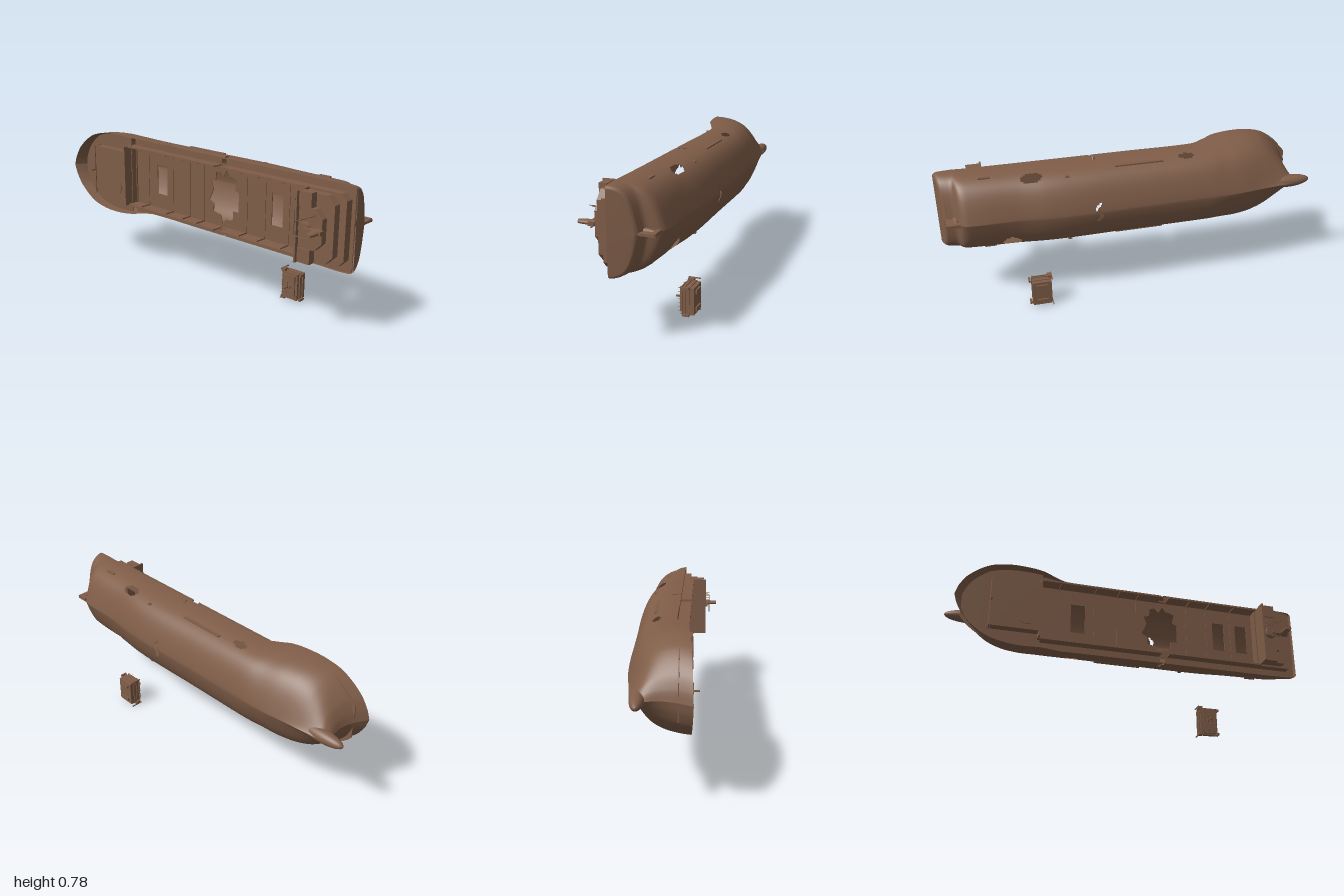
import * as THREE from 'three';

const rust = new THREE.MeshStandardMaterial({ color: 0x7f5d48, side: THREE.DoubleSide });
rust.name = 'rustBrown';

function add(parent, name, geo) {
  const m = new THREE.Mesh(geo, rust);
  m.name = name;
  parent.add(m);
  return m;
}
function box(parent, name, x0, x1, y0, y1, z0, z1) {
  const m = add(parent, name, new THREE.BoxGeometry(x1 - x0, y1 - y0, z1 - z0));
  m.position.set((x0 + x1) / 2, (y0 + y1) / 2, (z0 + z1) / 2);
  return m;
}

// Hull stations: x, half beam, rim z, keel z, section sharpness
const stations = [
  [-0.96, 0, 0.112, -0.15, 2], [-0.945, 0.05, 0.11, -0.16, 2], [-0.9, 0.122, 0.106, -0.17, 1.9],
  [-0.8, 0.199, 0.1, -0.18, 1.7], [-0.7, 0.229, 0.092, -0.19, 1.45], [-0.6, 0.236, 0.084, -0.203, 1.25],
  [-0.5, 0.229, 0.074, -0.21, 1.1], [-0.43, 0.22, 0.045, -0.212, 1], [-0.36, 0.214, 0.02, -0.212, 1],
  [0, 0.213, 0.02, -0.217, 1], [0.3, 0.213, 0.02, -0.224, 1], [0.45, 0.213, 0.02, -0.218, 1],
  [0.6, 0.213, 0.02, -0.201, 1.1], [0.84, 0.213, 0.022, -0.197, 1.35], [0.885, 0.213, 0.024, -0.18, 1.35],
  [0.91, 0.213, 0.025, -0.13, 1.25], [0.96, 0.211, 0.025, -0.11, 1.25], [0.985, 0.207, 0.025, -0.105, 1.3],
  [0.998, 0.195, 0.024, -0.095, 1.35]];
const sternX = 0.998;

// Smooth interpolation between stations
function station(x) {
  const n = stations.length;
  let i = 0;
  while (i < n - 2 && x > stations[i + 1][0]) i++;
  const a = stations[i], b = stations[i + 1], h = b[0] - a[0];
  const t = THREE.MathUtils.clamp((x - a[0]) / h, 0, 1);
  const slope = (j, k) => {
    const p = stations[Math.max(0, j - 1)], q = stations[Math.min(n - 1, j + 1)];
    return (q[k] - p[k]) / (q[0] - p[0]);
  };
  return a.map((v, k) => v * (1 - t) ** 2 * (1 + 2 * t) + b[k] * t * t * (3 - 2 * t)
    + h * t * (1 - t) * ((1 - t) * slope(i, k) - t * slope(i + 1, k)));
}
// Full bilge running into a shallow V at the keel; f is the depth fraction
function halfBeam(st, f) {
  return st[1] * Math.sqrt(Math.max(0, 1 - f * f)) ** (st[4] * (0.55 + 0.75 * f ** 4));
}
function hullPoint(x, th) {
  const st = station(x), f = Math.cos(th);
  const bow = Math.max(0, 1 - (x + 0.96) / 0.28), stern = Math.max(0, (x - 0.9) / 0.098);
  return [x + 0.055 * bow * Math.sin(Math.PI * Math.min(1, f * 0.85)) - 0.03 * stern * f,
    Math.sign(th) * halfBeam(st, f), st[2] - (st[2] - st[3]) * f];
}

// Torn openings in the plating
function torn(x, y, z) {
  const hole = (cx, cz, rx, rz) => ((x - cx) / rx) ** 2 + ((z - cz) / rz) ** 2 < 1;
  if (hole(-0.3, -0.085, 0.042, 0.02)) return true;
  if (y > 0 ? hole(0.52, -0.112, 0.055, 0.026) : hole(0.64, -0.135, 0.05, 0.028)) return true;
  if (Math.abs(x - 0.19 - 0.008 * Math.sin(z * 90)) < 0.006 && z > -0.03) return true;
  return Math.abs(x - 0.195 - 0.01 * Math.sin(y * 80)) < 0.009 && Math.abs(y) < 0.05;
}
function hullGeometry() {
  const N = 300, M = 72, pos = [], idx = [];
  for (let i = 0; i <= N; i++) for (let j = 0; j <= M; j++)
    pos.push(...hullPoint(-0.96 + (sternX + 0.96) * i / N, (j / M - 0.5) * Math.PI));
  // Last ring folds onto the centreline to close the transom
  for (let j = 0; j <= M; j++) {
    const [x, , z] = hullPoint(sternX, (j / M - 0.5) * Math.PI);
    pos.push(x, 0, z);
  }
  for (let i = 0; i <= N; i++) for (let j = 0; j < M; j++) {
    const a = i * (M + 1) + j, b = a + M + 1;
    const mid = [0, 1, 2].map(k => (pos[a * 3 + k] + pos[(b + 1) * 3 + k]) / 2);
    if (!torn(...mid)) idx.push(a, a + 1, b, b, a + 1, b + 1);
  }
  const g = new THREE.BufferGeometry();
  g.setAttribute('position', new THREE.Float32BufferAttribute(pos, 3));
  g.setIndex(idx);
  g.computeVertexNormals();
  return g;
}

function rectPath(x0, x1, y0, y1) {
  return new THREE.Path([[x0, y0], [x1, y0], [x1, y1], [x0, y1]].map(p => new THREE.Vector2(...p)));
}
// Flat deck following the hull plan
function deckShape(x0, x1, k) {
  const up = [], down = [];
  for (let i = 0; i <= 40; i++) {
    const x = x0 + (x1 - x0) * i / 40, w = station(x)[1] * k;
    up.push(new THREE.Vector2(x, w));
    down.unshift(new THREE.Vector2(x, -w));
  }
  return new THREE.Shape([...up, ...down]);
}
function plate(parent, name, shape, z, depth) {
  const m = add(parent, name, new THREE.ExtrudeGeometry(shape, { depth, bevelEnabled: false }));
  m.position.z = z;
  return m;
}

function buildDecks(ship) {
  plate(ship, 'bowDeck', deckShape(-0.92, -0.5, 0.96), 0.043, 0.005);
  const side = deckShape(-0.5, 0.985, 0.99);
  side.holes.push(rectPath(-0.495, 0.75, -0.17, 0.17), rectPath(0.175, 0.205, 0.18, 0.205), rectPath(0.175, 0.205, -0.205, -0.18));
  plate(ship, 'sideDeck', side, 0.012, 0.005);

  // Hold floor with hatch openings and a jagged breach
  const floor = new THREE.Shape(rectPath(-0.5, 0.75, -0.17, 0.17).getPoints());
  for (const [x, h] of [[-0.29, 0.04], [0.535, 0.035], [0.675, 0.035]]) floor.holes.push(rectPath(x - h, x + h, -0.085, 0.085));
  const jag = [];
  for (let i = 0; i < 26; i++) {
    const a = i / 26 * Math.PI * 2, r = 0.85 + 0.13 * Math.sin(i * 2.4) + 0.05 * Math.sin(i * 5.1);
    jag.push(new THREE.Vector2(0.185 + 0.115 * r * Math.cos(a), 0.155 * r * Math.sin(a)));
  }
  floor.holes.push(new THREE.Path(jag));
  plate(ship, 'holdFloor', floor, 0, 0.005);
  for (const x of [-0.4, -0.2, -0.07, 0.04, 0.34, 0.46, 0.61]) box(ship, 'floorSeam', x - 0.002, x + 0.002, -0.17, 0.17, 0.005, 0.008);

  // Coaming walls with inner ribs, broken at midships
  for (const s of [-1, 1]) {
    for (const [a, b] of [[-0.51, 0.17], [0.215, 0.76]]) {
      box(ship, 'coaming', a, b, s * 0.172 - 0.003, s * 0.172 + 0.003, 0, 0.075);
      box(ship, 'coamingRim', a, b, s * 0.174 - 0.005, s * 0.174 + 0.005, 0.07, 0.077);
    }
    for (const x of [-0.4, -0.2, -0.07, 0.04, 0.34, 0.46, 0.61])
      box(ship, 'coamingRib', x - 0.002, x + 0.002, s * 0.166 - 0.004, s * 0.166 + 0.004, 0.005, 0.07);
  }
}

function buildForecastle(ship) {
  box(ship, 'forwardHouse', -0.765, -0.515, -0.143, 0.143, 0.045, 0.09);
  box(ship, 'forwardHouseRoof', -0.77, -0.51, -0.146, 0.146, 0.09, 0.1);
  box(ship, 'holdBulkhead', -0.515, -0.505, -0.175, 0.175, 0, 0.1);
  box(ship, 'breakwater', -0.775, -0.768, -0.145, 0.145, 0.045, 0.105);
  box(ship, 'foreMast', -0.773, -0.767, -0.004, 0.004, 0.1, 0.135);
  const hatch = add(ship, 'roundHatch', new THREE.CylinderGeometry(0.042, 0.042, 0.009, 32));
  hatch.rotation.x = Math.PI / 2;
  hatch.position.set(-0.58, -0.075, 0.1);
  // Bulbous bow
  const bulb = add(ship, 'bulbousBow', new THREE.SphereGeometry(1, 32, 20));
  bulb.scale.set(0.13, 0.034, 0.036);
  bulb.position.set(-0.868, 0, -0.134);
}

function buildStern(ship) {
  const outline = (x0, x1, w, c) => new THREE.Shape([[x0, -w], [x1 - c, -w], [x1, -w + c], [x1, w - c], [x1 - c, w], [x0, w]]
    .map(p => new THREE.Vector2(...p)));
  plate(ship, 'sternHouseBase', outline(0.745, 0.965, 0.175, 0.03), 0, 0.06);
  plate(ship, 'sternHouseLower', outline(0.755, 0.93, 0.165, 0.04), 0.06, 0.04);
  plate(ship, 'sternHouseUpper', outline(0.76, 0.89, 0.1, 0.04), 0.1, 0.035);
  for (const s of [-1, 1]) box(ship, 'sternWing', 0.755, 0.83, s * 0.137 - 0.036, s * 0.137 + 0.036, 0.1, 0.14);
  box(ship, 'bridgeStub', 0.75, 0.76, -0.175, 0.175, 0.06, 0.155);
  const ring = add(ship, 'funnelCollar', new THREE.CylinderGeometry(0.03, 0.034, 0.03, 24));
  ring.rotation.x = Math.PI / 2;
  ring.position.set(0.8, 0, 0.14);
  box(ship, 'mastArm', 0.8, 0.9, -0.01, 0.01, 0.135, 0.165);
  const funnel = add(ship, 'funnel', new THREE.CylinderGeometry(0.01, 0.015, 0.085, 16));
  funnel.rotation.x = Math.PI / 2;
  funnel.scale.x = 1.6;
  funnel.position.set(0.872, 0, 0.18);
  // Railings on the roof
  for (let i = 0; i < 6; i++) box(ship, 'railPost', 0.76 + i * 0.018, 0.763 + i * 0.018, 0.03 + i * 0.008, 0.033 + i * 0.008, 0.135, 0.178);
  box(ship, 'railTop', 0.76, 0.855, -0.035, -0.031, 0.174, 0.178);
  box(ship, 'railCross', 0.76, 0.764, -0.035, 0.075, 0.174, 0.178);
  // Skeg fairing and rudder under the counter
  const skeg = add(ship, 'skeg', new THREE.CylinderGeometry(0.03, 0.009, 0.1, 20));
  skeg.rotation.x = Math.PI / 2;
  skeg.position.set(0.91, 0, -0.115);
  box(ship, 'rudder', 0.925, 0.96, -0.006, 0.006, -0.18, -0.09);
  box(ship, 'rudderHeel', 0.89, 0.955, -0.009, 0.009, -0.183, -0.16);
}

function buildHullDetails(ship) {
  for (const s of [-1, 1]) for (const [x0, x1, z] of [[-0.17, 0.09, -0.1], [0.72, 0.78, -0.075], [0.33, 0.35, -0.13]]) {
    // Bilge strakes on the plating
    const st = station((x0 + x1) / 2), y = s * halfBeam(st, (st[2] - z) / (st[2] - st[3]));
    box(ship, 'bilgeStrake', x0, x1, y - 0.004, y + 0.004, z - 0.009, z + 0.009);
  }
}

// Accommodation block torn off and lying beside the hull
function buildWreckedHouse(root) {
  const g = new THREE.Group();
  g.name = 'detachedHouse';
  g.position.set(0.515, 0.088, 0);
  root.add(g);
  const tiers = [[0.05, 0.07, -0.212, -0.192], [0.048, 0.074, -0.19, -0.17], [0.045, 0.07, -0.168, -0.15], [0.036, 0.06, -0.148, -0.138]];
  for (const [hx, hy, z0, z1] of tiers) {
    box(g, 'houseTier', -hx, hx, -hy, hy, z0, z1);
    box(g, 'tierDeck', -hx - 0.005, hx + 0.004, -hy - 0.004, hy + 0.004, z1, z1 + 0.002);
    for (const s of [-1, 1]) for (let i = 0; i < 7; i++) {
      const y = (i / 3 - 1) * hy;
      box(g, 'railPost', s * hx - 0.001, s * hx + 0.001, y - 0.001, y + 0.001, z1, z1 + 0.012);
    }
  }
  for (const s of [-1, 1]) {
    box(g, 'bridgeWing', -0.058, -0.035, s * 0.077 - 0.008, s * 0.077 + 0.008, -0.18, -0.15);
    box(g, 'boatDavit', 0.055, 0.065, s * 0.07 - 0.006, s * 0.07 + 0.006, -0.19, -0.155);
    box(g, 'wingRail', -0.06, -0.056, s * 0.083 - 0.003, s * 0.083 + 0.003, -0.21, -0.145);
    box(g, 'footing', -0.03, 0.03, s * 0.045 - 0.01, s * 0.045 + 0.01, -0.22, -0.21);
  }
  box(g, 'roofHatch', -0.012, 0.015, -0.008, 0.008, -0.138, -0.128);
  box(g, 'mast', -0.004, 0.004, -0.004, 0.004, -0.138, -0.1);
  box(g, 'mastYard', -0.002, 0.002, -0.03, 0.03, -0.125, -0.122);
}

export function createModel() {
  const root = new THREE.Group();
  root.name = 'shipwreck';
  const ship = new THREE.Group();
  ship.name = 'ship';
  ship.position.y = 0.545;
  root.add(ship);
  add(ship, 'hull', hullGeometry());
  buildDecks(ship);
  buildForecastle(ship);
  buildStern(ship);
  buildHullDetails(ship);
  buildWreckedHouse(root);
  return root;
}
